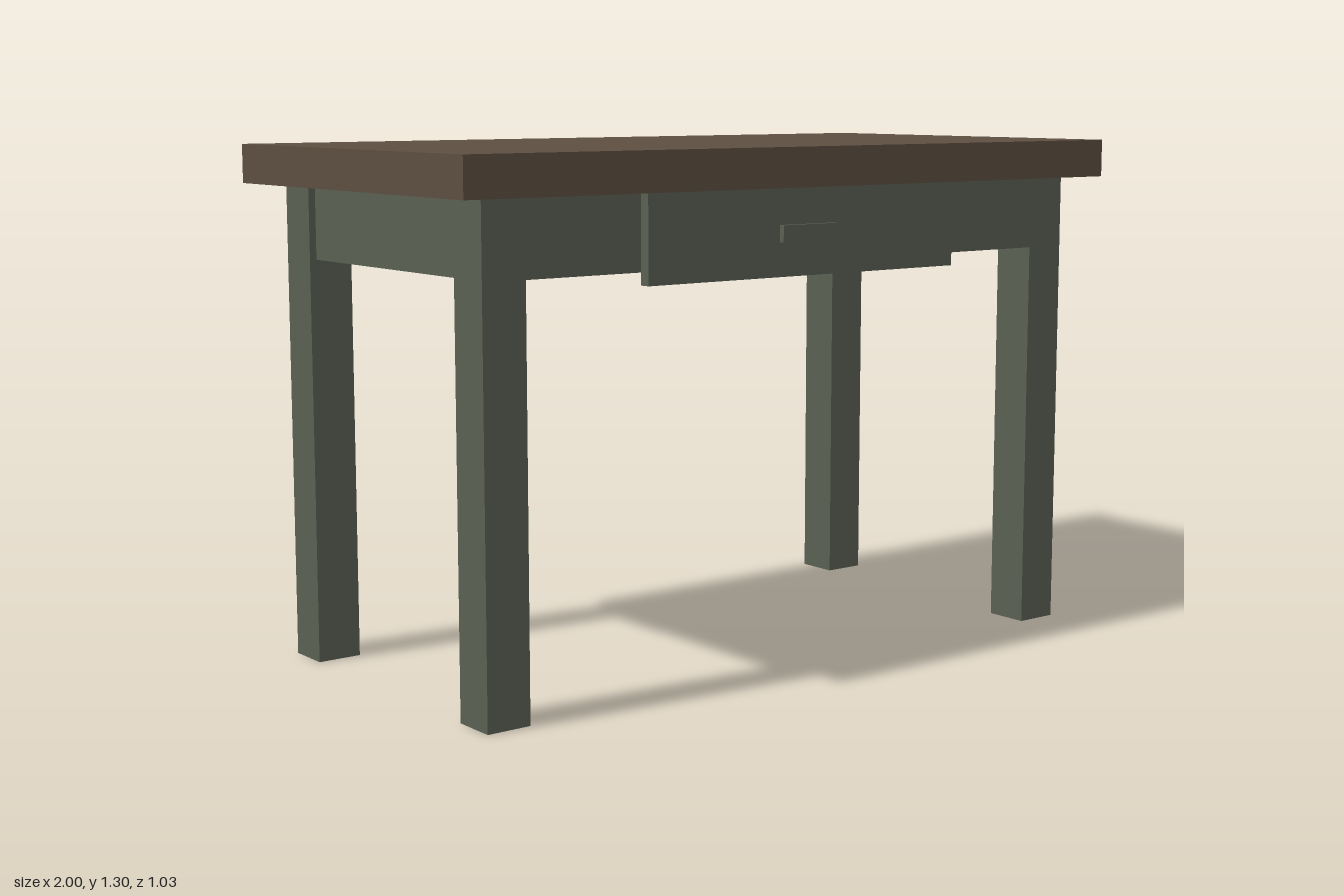
import * as THREE from 'three';

const wood = new THREE.MeshStandardMaterial({ color: 0x5d4e41 });
wood.name = 'brown wood';
const paint = new THREE.MeshStandardMaterial({ color: 0x5a6053 });
paint.name = 'grey green paint';

// Box given by its lower and upper limits on each axis
function block(name, material, [x0, x1], [y0, y1], [z0, z1]) {
  const mesh = new THREE.Mesh(new THREE.BoxGeometry(x1 - x0, y1 - y0, z1 - z0), material);
  mesh.position.set((x0 + x1) / 2, (y0 + y1) / 2, (z0 + z1) / 2);
  mesh.name = name;
  return mesh;
}

const span = (sign, a, b) => (sign > 0 ? [a, b] : [-b, -a]);

export function createModel() {
  const table = new THREE.Group();
  table.name = 'table';
  const under = 1.203; // underside of the top

  table.add(block('tableTop', wood, [-1, 1], [under, 1.3], [-0.517, 0.517]));

  for (const side of [1, -1]) {
    const sideName = side > 0 ? 'left' : 'right';
    const endName = side > 0 ? 'front' : 'back';

    // Legs
    for (const end of [1, -1]) {
      const name = (end > 0 ? 'front' : 'back') + (side > 0 ? 'Left' : 'Right') + 'Leg';
      table.add(block(name, paint, span(side, 0.8, 0.915), [0, under], span(end, 0.336, 0.451)));
    }

    // Aprons: long ones flush with the legs, short ones slightly recessed
    table.add(block(endName + 'Apron', paint, [-0.8, 0.8], [1.018, under], span(side, 0.365, 0.451)));
    table.add(block(sideName + 'Apron', paint, span(side, 0.825, 0.897), [1.018, under], [-0.336, 0.336]));
  }

  // Drawer front and its pull
  table.add(block('drawerFront', paint, [-0.483, 0.483], [0.988, under], [0.451, 0.479]));
  table.add(block('drawerPull', paint, [-0.09, 0.09], [1.072, 1.113], [0.479, 0.493]));

  return table;
}
